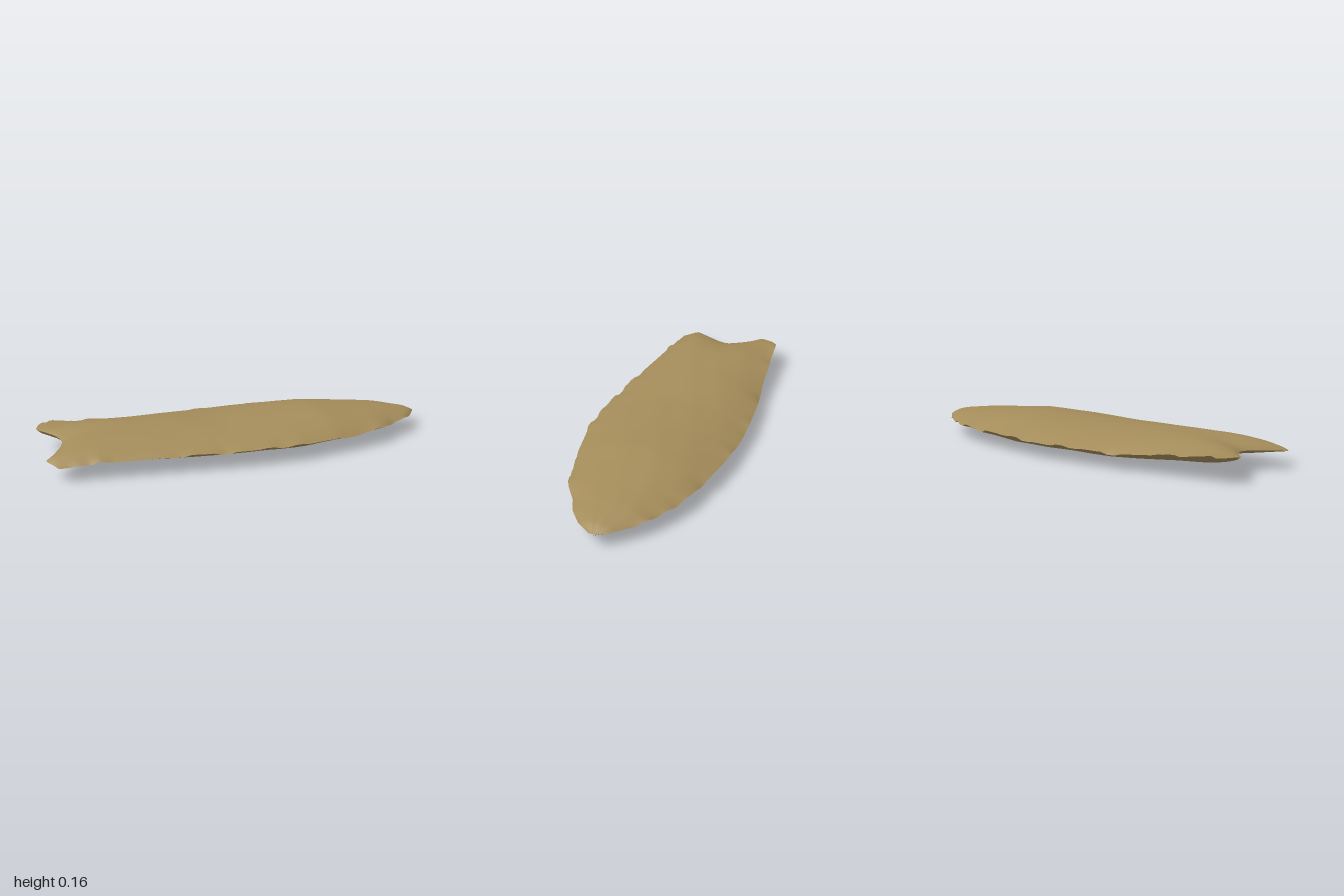
import * as THREE from 'three';

// Outline and profile points along the length of the blade
const BACK = [[-0.95, -0.27], [-0.8, -0.286], [-0.6, -0.31], [-0.5, -0.322], [-0.4, -0.345], [-0.2, -0.368], [0, -0.383], [0.08, -0.386], [0.3, -0.367], [0.5, -0.335], [0.68, -0.287], [0.78, -0.235], [0.86, -0.188], [0.93, -0.12], [0.965, -0.09], [1, -0.035]];
const FRONT = [[-0.95, 0.305], [-0.8, 0.312], [-0.6, 0.33], [-0.4, 0.35], [-0.1, 0.376], [0.2, 0.373], [0.35, 0.34], [0.5, 0.31], [0.6, 0.275], [0.7, 0.243], [0.8, 0.172], [0.88, 0.13], [0.95, 0.07], [1, -0.005]];
const TOP = [[-0.95, 0.145], [-0.85, 0.158], [-0.7, 0.165], [-0.4, 0.16], [-0.1, 0.153], [0.2, 0.163], [0.42, 0.169], [0.6, 0.151], [0.8, 0.134], [0.95, 0.11], [1, 0.088]];
const BOTTOM = [[-0.95, 0.068], [-0.6, 0.041], [-0.3, 0.015], [0, 0.013], [0.28, 0.003], [0.6, 0.03], [0.8, 0.05], [0.95, 0.07], [1, 0.08]];
// Notched base: x for each z
const BASE = [[-0.27, -0.94], [-0.24, -0.965], [-0.17, -0.99], [-0.12, -0.945], [-0.07, -0.91], [0, -0.885], [0.07, -0.905], [0.15, -0.95], [0.22, -1], [0.26, -0.975], [0.305, -0.95]];

function sample(points, t) {
  if (t <= points[0][0]) return points[0][1];
  for (let i = 1; i < points.length; i++) {
    const [a, va] = points[i - 1], [b, vb] = points[i];
    if (t <= b) return va + (vb - va) * (t - a) / (b - a);
  }
  return points[points.length - 1][1];
}

// Repeatable small irregularity for the chipped rim
const noise = (i, seed) => {
  const s = Math.sin(i * 12.9898 + seed * 78.233) * 43758.5453;
  return (s - Math.floor(s)) * 2 - 1;
};

const ROWS = 64, COLS = 32;

// Point on one face: side is 1 for upper, -1 for lower
function facePoint(i, j, side) {
  const s = i / ROWS, t = j / COLS;
  const X = -0.95 + 1.95 * (0.6 * s + 0.4 * (1 - Math.cos(Math.PI * s)) / 2);
  const v = -Math.cos(Math.PI * t) * 0.6 + (2 * t - 1) * 0.4;
  const taper = Math.min(1, (1 - X) * 6);
  const rim = Math.pow(Math.abs(v), 6) * taper;
  const zb = sample(BACK, X), zf = sample(FRONT, X);
  const chip = noise(Math.floor(i / 2), v < 0 ? 1 : 2);
  const z = zb + (zf - zb) * (v + 1) / 2 + Math.sign(v) * rim * 0.004 * chip;

  // Ears and notch fade out along the blade
  const fade = Math.max(0, 1 - (X + 0.95) / 0.6);
  const x = X + (sample(BASE, z) + 0.95) * fade * fade;

  // Rim height: slightly twisted at the base, wavy along the sides
  const twist = Math.max(0, (-0.45 - X) / 0.5);
  const mid = 0.086 + twist * (0.022 - 0.025 * v) + rim * 0.009 * chip;

  // Lens section, thinned to an edge at the base and hollowed by a shallow flute
  const rise = Math.min(1, (X + 0.95) / 0.22);
  const close = Math.sqrt(Math.max(0, rise * (2 - rise)));
  const lens = (1 - Math.pow(Math.abs(v), 2.3)) * close;
  const flute = 0.018 * twist * Math.exp(-Math.pow((z - 0.03) / 0.09, 2)) * close;
  const limit = sample(side > 0 ? TOP : BOTTOM, X);
  const facet = 0.0015 * Math.sin(X * 17 + v * 5) * Math.sin(v * 8 - X * 4);
  const y = mid + (limit - mid + facet) * lens - side * flute;
  return [x, y, z];
}

function faceGeometry(side) {
  const positions = [], index = [];
  for (let i = 0; i <= ROWS; i++)
    for (let j = 0; j <= COLS; j++) positions.push(...facePoint(i, j, side));
  for (let i = 0; i < ROWS; i++)
    for (let j = 0; j < COLS; j++) {
      const a = i * (COLS + 1) + j, b = a + 1, c = a + COLS + 1, d = c + 1;
      if (side > 0) index.push(a, b, c, b, d, c);
      else index.push(a, c, b, b, c, d);
    }
  const geometry = new THREE.BufferGeometry();
  geometry.setAttribute('position', new THREE.Float32BufferAttribute(positions, 3));
  geometry.setIndex(index);
  geometry.computeVertexNormals();
  return geometry;
}

export function createModel() {
  const group = new THREE.Group();
  group.name = 'stonePoint';
  const stone = new THREE.MeshStandardMaterial({ color: 0xa48c5a });
  stone.name = 'tan flint';

  // Two curved faces meet in a sharp, chipped rim
  for (const [name, side] of [['upperFace', 1], ['lowerFace', -1]]) {
    const mesh = new THREE.Mesh(faceGeometry(side), stone);
    mesh.name = name;
    group.add(mesh);
  }
  return group;
}
